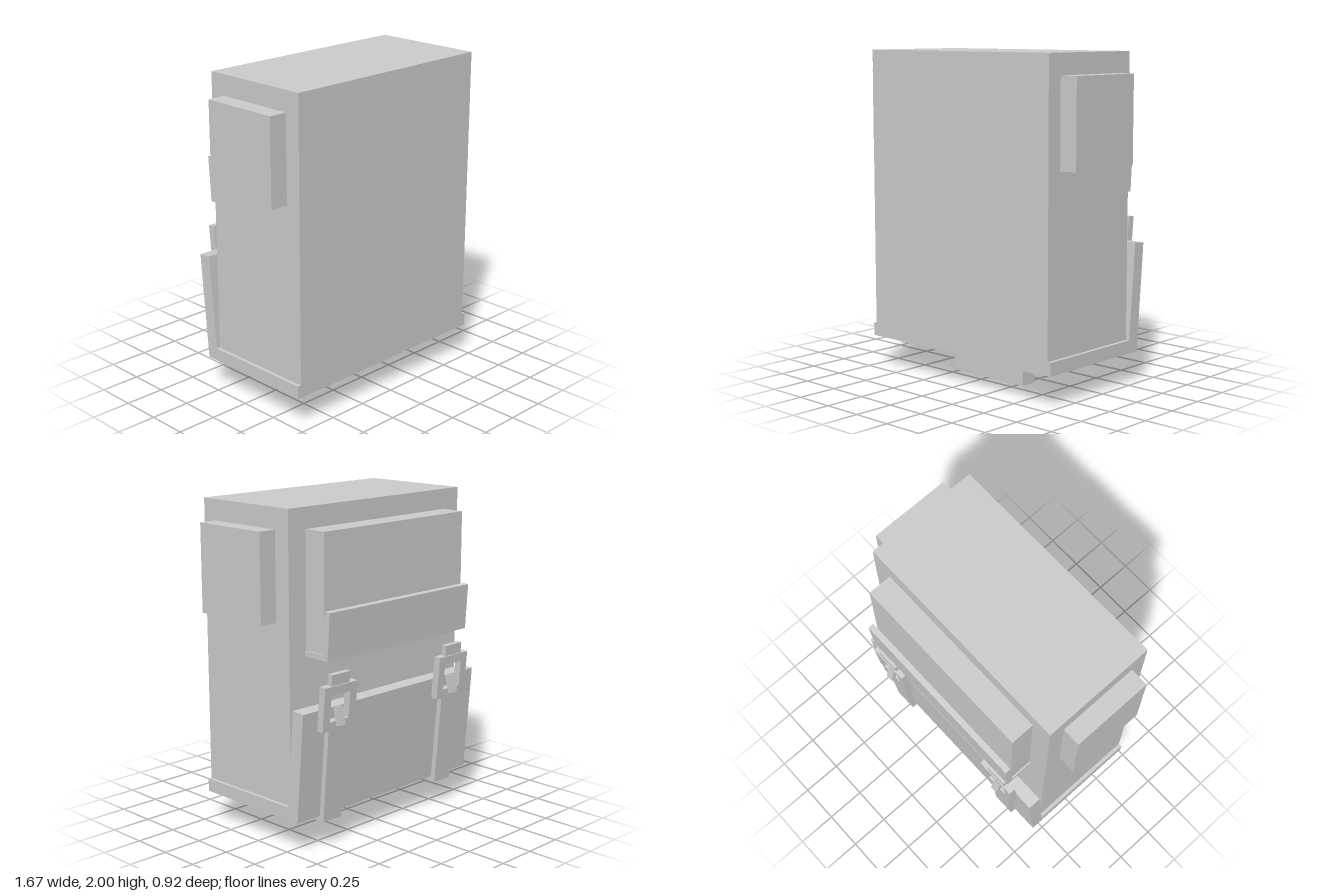
import * as THREE from 'three';

const material = new THREE.MeshStandardMaterial({ color: 0xcccccc, flatShading: true });

function add(parent, name, geometry, x = 0, y = 0, z = 0) {
  const mesh = new THREE.Mesh(geometry, material);
  mesh.name = name;
  mesh.position.set(x, y, z);
  parent.add(mesh);
  return mesh;
}

// Box given by its limits on each axis
function block(parent, name, [x0, x1], [y0, y1], [z0, z1]) {
  return add(parent, name, new THREE.BoxGeometry(x1 - x0, y1 - y0, z1 - z0),
    (x0 + x1) / 2, (y0 + y1) / 2, (z0 + z1) / 2);
}

function polygon(points) {
  return new THREE.Shape(points.map(([x, y]) => new THREE.Vector2(x, y)));
}

// Side profile of [z, y] points, extruded along x and centred on it
function profile(points, width) {
  const geometry = new THREE.ExtrudeGeometry(polygon(points.map(([z, y]) => [-z, y])),
    { depth: width, bevelEnabled: false });
  return geometry.translate(0, 0, -width / 2).rotateY(Math.PI / 2);
}

function rectangle(w, h) {
  return [[-w / 2, -h / 2], [w / 2, -h / 2], [w / 2, h / 2], [-w / 2, h / 2]];
}

export function createModel() {
  const pack = new THREE.Group();
  pack.name = 'backpack';

  // Main compartment
  block(pack, 'body', [-0.72, 0.72], [0.27, 2], [-0.257, 0.46]);

  // Lid with its leaning flap
  add(pack, 'lid', profile([[0.46, 0.195], [-0.335, 0.195], [-0.387, 0.857],
    [-0.305, 0.865], [-0.26, 0.275], [0.46, 0.275]], 1.486));

  // Back pocket and its flap
  block(pack, 'backPocket', [-0.59, 0.59], [1.17, 1.875], [-0.405, -0.25]);
  add(pack, 'backPocketFlap', profile([[-0.255, 1.148], [-0.44, 1.148], [-0.458, 1.428],
    [-0.422, 1.432], [-0.405, 1.18], [-0.255, 1.18]], 1.2));

  // Carry handle
  const handle = new THREE.ExtrudeGeometry(polygon([[-0.29, 0], [0.29, 0], [0.29, 0.2],
    [0.195, 0.2], [0.195, 0.1], [-0.195, 0.1], [-0.195, 0.2], [-0.29, 0.2]]),
  { depth: 0.095, bevelEnabled: false });
  add(pack, 'handle', handle, 0, 0, 0.095);

  // Buckle frame with an open window
  const frameShape = polygon(rectangle(0.26, 0.268));
  frameShape.holes.push(new THREE.Path(
    rectangle(0.15, 0.16).reverse().map(([x, y]) => new THREE.Vector2(x, y))));
  const frame = new THREE.ExtrudeGeometry(frameShape, { depth: 0.045, bevelEnabled: false })
    .translate(0, 0, -0.0225);

  for (const side of [-1, 1]) {
    const x = side * 0.493;
    const label = side > 0 ? 'left' : 'right';

    // Side pocket
    const limits = side > 0 ? [0.715, 0.835] : [-0.835, -0.715];
    block(pack, label + 'SidePocket', limits, [1.345, 1.875], [-0.15, 0.36]);

    // Strap running under the lid and up the flap
    add(pack, label + 'Strap', profile([[0.385, 0.163], [-0.365, 0.163], [-0.415, 0.775],
      [-0.383, 0.775], [-0.335, 0.197], [0.385, 0.197]], 0.145), x);

    // Buckle, strap end and prong share the lean of the flap
    const buckle = new THREE.Group();
    buckle.name = label + 'Buckle';
    buckle.position.set(x, 0.866, -0.41);
    buckle.rotation.x = -0.085;
    add(buckle, 'frame', frame);
    block(buckle, 'strapEnd', [-0.0725, 0.0725], [0.09, 0.2], [-0.015, 0.017]);
    const prong = block(buckle, 'prong', [-0.025, 0.025], [-0.11, 0], [-0.037, -0.007]);
    prong.rotation.x = 0.3;
    pack.add(buckle);
  }
  return pack;
}
